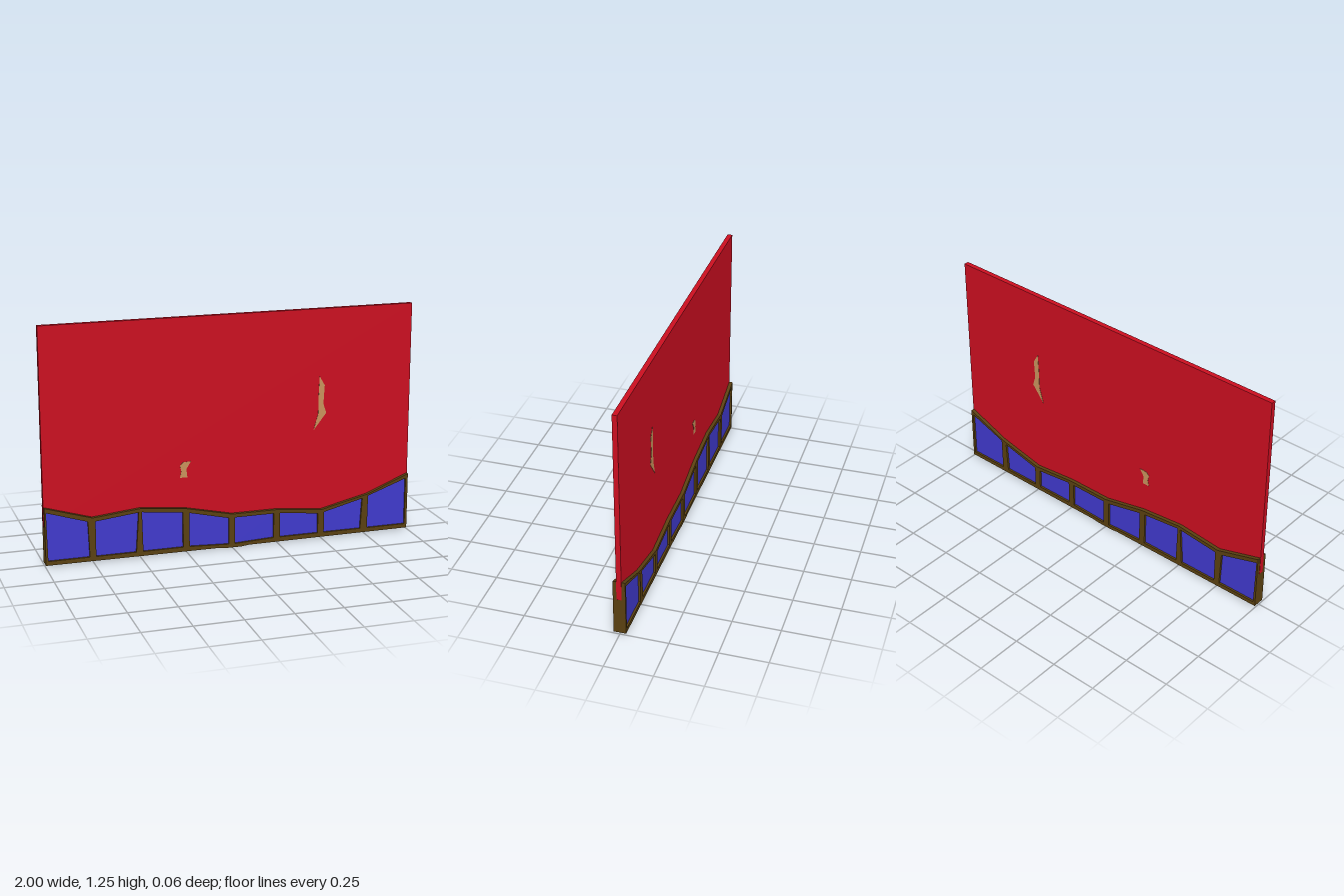
import * as THREE from 'three';

const red = new THREE.MeshStandardMaterial({ color: 0xcb0e20 });
red.name = 'red plaster';
const brown = new THREE.MeshStandardMaterial({ color: 0x5a4010 });
brown.name = 'dark wood';
const blue = new THREE.MeshStandardMaterial({ color: 0x4039cc });
blue.name = 'blue panel';
const tan = new THREE.MeshStandardMaterial({ color: 0xc8925c });
tan.name = 'bare tan';

const toPoints = (pts) => pts.map(([x, y]) => new THREE.Vector2(x, y));

// Slab of the given outline, centred on z = 0
function slab(name, outline, depth, material, holes = []) {
  const shape = new THREE.Shape(toPoints(outline));
  holes.forEach((h) => shape.holes.push(new THREE.Path(toPoints(h))));
  const geo = new THREE.ExtrudeGeometry(shape, { depth, bevelEnabled: false });
  geo.translate(0, 0, -depth / 2);
  const mesh = new THREE.Mesh(geo, material);
  mesh.name = name;
  return mesh;
}

export function createModel() {
  const model = new THREE.Group();
  model.name = 'wallSection';

  // Plastered wall, its foot buried in the wainscot
  model.add(slab('wall', [
    [-1, 0.21], [-0.9, 0.12], [0.9, 0.12], [1, 0.21], [1, 1.25], [-1, 1.25],
  ], 0.026, red));

  // Wavy wooden wainscot with an opening for each panel
  const outline = [
    [-0.998, 0.008], [-0.08, 0.005], [-0.04, 0], [0.05, 0], [0.09, 0.005], [0.998, 0.008],
    [0.998, 0.315], [0.76, 0.22], [0.5, 0.16], [0.25, 0.185], [0, 0.185],
    [-0.25, 0.24], [-0.5, 0.265], [-0.75, 0.24], [-0.998, 0.315],
  ];
  const openings = [
    [[-0.985, 0.03], [-0.768, 0.03], [-0.775, 0.222], [-0.99, 0.29]],
    [[-0.735, 0.03], [-0.522, 0.03], [-0.507, 0.245], [-0.735, 0.22]],
    [[-0.485, 0.03], [-0.27, 0.03], [-0.27, 0.22], [-0.49, 0.245]],
    [[-0.235, 0.03], [-0.02, 0.02], [-0.02, 0.165], [-0.235, 0.215]],
    [[0.015, 0.02], [0.23, 0.03], [0.23, 0.165], [0.015, 0.165]],
    [[0.265, 0.03], [0.48, 0.03], [0.48, 0.14], [0.265, 0.165]],
    [[0.515, 0.03], [0.725, 0.03], [0.735, 0.2], [0.515, 0.145]],
    [[0.765, 0.03], [0.985, 0.03], [0.985, 0.29], [0.768, 0.212]],
  ];
  model.add(slab('wainscotFrame', outline, 0.064, brown, openings));

  // Recessed panels, seen from both sides
  openings.forEach((corners, i) => model.add(slab(`panel${i + 1}`, corners, 0.042, blue)));

  // Chipped patches showing on both faces of the wall
  model.add(slab('largeChip', [
    [0.485, 0.89], [0.48, 0.77], [0.48, 0.69], [0.455, 0.6],
    [0.525, 0.69], [0.508, 0.74], [0.514, 0.84],
  ], 0.029, tan));
  model.add(slab('smallChip', [
    [-0.28, 0.405], [-0.24, 0.405], [-0.245, 0.45], [-0.22, 0.49],
    [-0.262, 0.488], [-0.28, 0.47], [-0.272, 0.44],
  ], 0.029, tan));

  return model;
}
